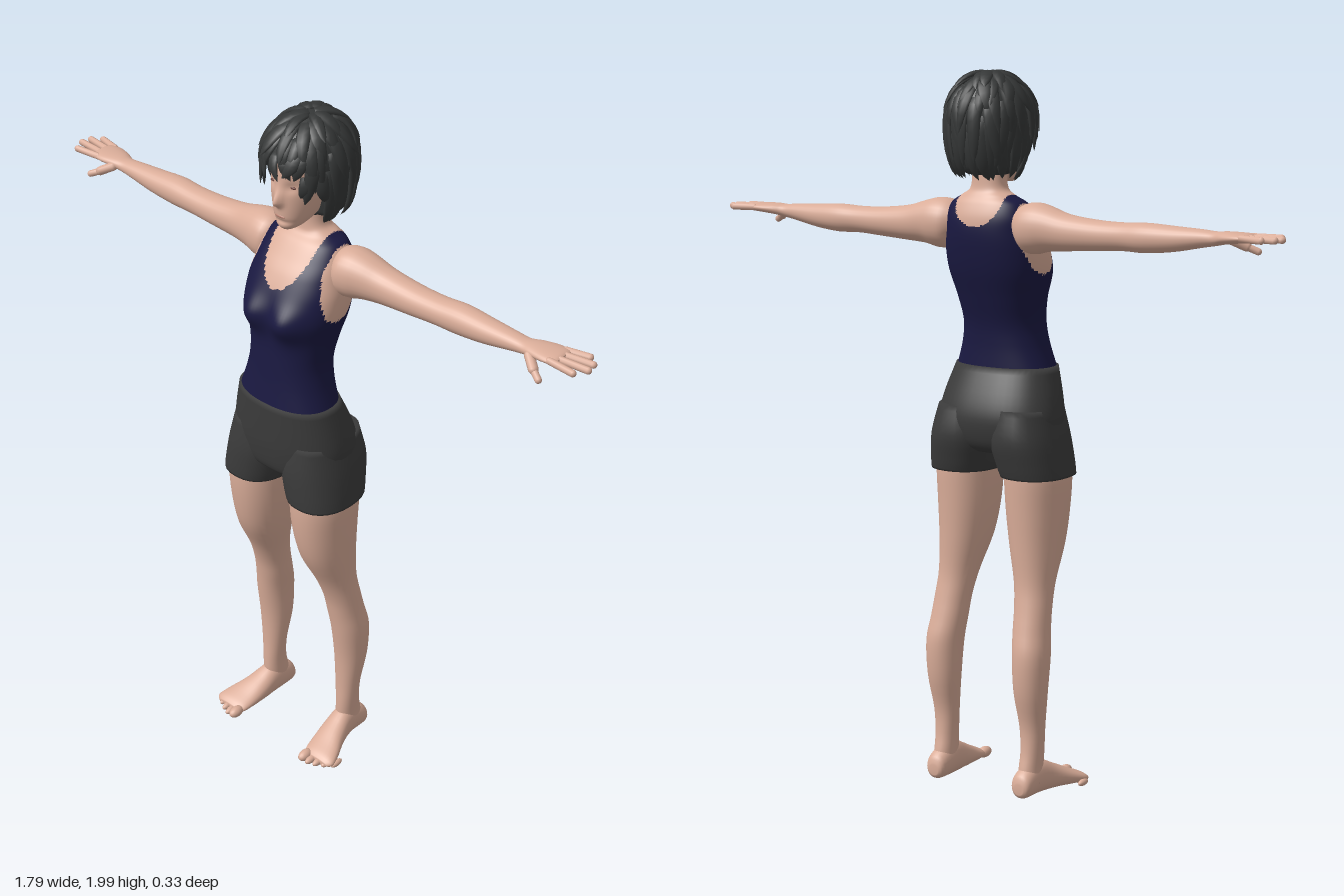
import * as THREE from 'three';
import { mergeGeometries } from 'three/addons/utils/BufferGeometryUtils.js';

const material = (name, color) => Object.assign(new THREE.MeshStandardMaterial({ color }), { name });
const V = (x, y, z) => new THREE.Vector3(x, y, z);
const bump = (d, w) => Math.exp(-((d / w) ** 2));

// Closed smooth surface through a list of equal-sized rings, capped at both ends
function skinRings(rings) {
  const n = rings[0].length, m = rings.length, pos = [], index = [];
  rings.forEach(r => r.forEach(p => pos.push(p.x, p.y, p.z)));
  for (const r of [rings[0], rings[m - 1]]) {
    const c = r.reduce((s, p) => s.add(p), V(0, 0, 0)).divideScalar(n);
    pos.push(c.x, c.y, c.z);
  }
  for (let j = 0; j < n; j++) {
    const k = (j + 1) % n, last = (m - 1) * n;
    for (let i = 0; i < m - 1; i++) {
      const a = i * n + j, b = i * n + k;
      index.push(a, a + n, b, b, a + n, b + n);
    }
    index.push(m * n, j, k, m * n + 1, last + k, last + j);
  }
  const g = new THREE.BufferGeometry();
  g.setAttribute('position', new THREE.Float32BufferAttribute(pos, 3));
  g.setIndex(index);
  g.computeVertexNormals();
  return g;
}

// Rows are [t, aMin, aMax, bMin, bMax]; place turns (t, a, b) into a point
const upright = (t, a, b) => V(a, t, b);
const sideways = (t, a, b) => V(t, b, a);
const forward = (t, a, b) => V(b, a, t);
function loft(rows, place, { segs = 28, steps = 4, power = 2.1, warp = p => p } = {}) {
  const rings = [], count = (rows.length - 1) * steps;
  for (let i = 0; i <= count; i++) {
    const k = Math.min(Math.floor(i / steps), rows.length - 2), f = i / steps - k;
    const at = q => rows[Math.max(0, Math.min(rows.length - 1, q))];
    const [t, a0, a1, b0, b1] = rows[0].map((_, c) => {
      const p0 = at(k - 1)[c], p1 = at(k)[c], p2 = at(k + 1)[c], p3 = at(k + 2)[c];
      const m1 = (p2 - p0) / 2, m2 = (p3 - p1) / 2;
      return p1 + m1 * f + (3 * (p2 - p1) - 2 * m1 - m2) * f * f + (2 * (p1 - p2) + m1 + m2) * f ** 3;
    });
    rings.push(Array.from({ length: segs }, (_, j) => {
      const q = j / segs * Math.PI * 2, c = Math.cos(q), s = Math.sin(q), e = 2 / power;
      const u = Math.sign(c) * Math.abs(c) ** e, v = Math.sign(s) * Math.abs(s) ** e;
      return warp(place(t, (a0 + a1) / 2 + u * (a1 - a0) / 2, (b0 + b1) / 2 + v * (b1 - b0) / 2));
    }));
  }
  return skinRings(rings);
}
const symmetric = rows => rows.map(([t, r, b0, b1]) => [t, -r, r, b0, b1]);

function mirrored(geo) {
  const g = geo.clone().scale(-1, 1, 1), ix = g.index.array;
  for (let i = 0; i < ix.length; i += 3) [ix[i], ix[i + 2]] = [ix[i + 2], ix[i]];
  g.computeVertexNormals();
  return g;
}
function rod(p, q, r) {
  const d = q.clone().sub(p), len = d.length();
  const g = new THREE.CapsuleGeometry(r, Math.max(0.001, len - r), 5, 10);
  g.applyQuaternion(new THREE.Quaternion().setFromUnitVectors(V(0, 1, 0), d.normalize()));
  const c = p.clone().add(q).multiplyScalar(0.5);
  return g.translate(c.x, c.y, c.z);
}
const ball = (x, y, z, rx, ry, rz) => new THREE.SphereGeometry(1, 16, 12)
  .deleteAttribute('uv').scale(rx, ry, rz).translate(x, y, z);

// Point on the hair volume: az turns from the front, h runs down from the crown
function hairPoint(az, h, s) {
  const k = h < Math.PI / 2 ? Math.sin(h) : Math.sin(h) ** 0.5, c = Math.cos(h);
  return V(0.113 * s * k * Math.sin(az), 1.862 + c * (c > 0 ? 0.122 * s : 0.178),
    -0.03 + (Math.cos(az) > 0 ? 0.134 : 0.122) * s * k * Math.cos(az));
}
function hairEnd(az) {
  const a = Math.abs(Math.atan2(Math.sin(az), Math.cos(az)));
  return a < 0.7 ? 1.62 : a < 1.15 ? 2.0 : 2.7;
}
function makeHair() {
  let seed = 7;
  const rand = () => (seed = (seed * 16807) % 2147483647) / 2147483647;
  const parts = [];
  // Base volume, tucked inside the head below the hairline
  parts.push(skinRings(Array.from({ length: 24 }, (_, i) => Array.from({ length: 40 }, (_, j) => {
    const az = j / 40 * Math.PI * 2, h = 0.05 + i * 0.11;
    return hairPoint(az, h, h > hairEnd(az) - 0.2 ? 0.6 : 0.97);
  }))));
  // Overlapping pointed locks in layers from crown to nape
  for (const [h0, h1, n] of [[0.05, 0.95, 9], [0.35, 1.4, 15], [0.7, 1.85, 20], [1.1, 2.35, 22], [1.5, 2.75, 22]]) {
    for (let j = 0; j < n; j++) {
      const az = (j + rand() * 0.7) / n * Math.PI * 2, start = h0 + rand() * 0.15;
      const end = Math.min(h1 + rand() * 0.2 - 0.1, hairEnd(az) + rand() * 0.2 - 0.08);
      if (end - start < 0.3) continue;
      const drift = (rand() - 0.5) * 0.5, flick = 0.02 + rand() * 0.17, w = 0.021 + rand() * 0.01;
      const at = u => hairPoint(az + drift * u * u, start + (end - start) * u,
        0.95 + 0.06 * Math.sin(Math.PI * u) + flick * u ** 3);
      const rings = [];
      for (let i = 0; i <= 7; i++) {
        const u = i / 7, p = at(u), t = at(u + 0.02).sub(at(u - 0.02)).normalize();
        const out = p.clone().sub(V(0, 1.85, -0.03));
        out.addScaledVector(t, -out.dot(t)).normalize();
        const side = t.clone().cross(out), r = w * (0.65 + 0.7 * u) * (1.001 - u) ** 0.65;
        rings.push(Array.from({ length: 8 }, (_, q) => p.clone()
          .addScaledVector(side, r * Math.cos(q * Math.PI / 4))
          .addScaledVector(out, 0.42 * r * Math.sin(q * Math.PI / 4))));
      }
      parts.push(skinRings(rings));
    }
  }
  return mergeGeometries(parts);
}

export function createModel() {
  const skin = material('skin', 0xdaad99), navy = material('navy cloth', 0x1a1941);
  const grey = material('charcoal cloth', 0x3b3b3b), dark = material('hair', 0x353737);
  const lip = material('lips', 0xb98272), iris = material('eyes', 0x6b4038);
  const model = new THREE.Group();
  const add = (name, geo, mat) => {
    const mesh = new THREE.Mesh(geo, mat);
    mesh.name = name;
    model.add(mesh);
  };
  const pair = (name, geo, mat) => {
    add('left' + name, geo, mat);
    add('right' + name, mirrored(geo), mat);
  };

  // Torso and neck: one surface, divided into tank top and bare skin
  const torso = loft(symmetric([
    [1.185, 0.146, -0.042, 0.153], [1.25, 0.125, -0.042, 0.144], [1.31, 0.116, -0.048, 0.138],
    [1.38, 0.126, -0.068, 0.133], [1.45, 0.144, -0.09, 0.135], [1.51, 0.146, -0.102, 0.122],
    [1.56, 0.138, -0.107, 0.098], [1.6, 0.13, -0.104, 0.068], [1.635, 0.112, -0.092, 0.04],
    [1.655, 0.08, -0.08, 0.018], [1.675, 0.053, -0.07, 0.012], [1.72, 0.047, -0.066, 0.012],
    [1.78, 0.045, -0.06, 0.02]]), upright, {
    segs: 96, steps: 8, power: 2.3,
    warp: p => {
      if (p.z > 0.03) p.z += 0.028 * bump(Math.abs(p.x) - 0.06, 0.05) * bump(p.y - 1.445, 0.05);
      return p;
    }
  });
  const isSkin = (x, y, z) => {
    const ax = Math.abs(x), depth = z > -0.03 ? 0.12 : 0.07;
    return y > 1.662 || ax > 0.11 + 0.25 * Math.max(0, 1.58 - y) ||
      (ax / 0.074) ** 2 + (Math.min(0, y - 1.645) / depth) ** 2 < 1;
  };
  const p = torso.attributes.position, cloth = [], bare = [];
  for (let i = 0; i < torso.index.count; i += 3) {
    const t = [0, 1, 2].map(k => torso.index.getX(i + k));
    const mid = get => t.reduce((s, v) => s + p[get](v), 0) / 3;
    (isSkin(mid('getX'), mid('getY'), mid('getZ')) ? bare : cloth).push(...t);
  }
  torso.setIndex([...cloth, ...bare]);
  torso.addGroup(0, cloth.length, 0);
  torso.addGroup(cloth.length, bare.length, 1);
  add('torsoAndTankTop', torso, [navy, skin]);

  // Shorts
  add('shortsHips', loft(symmetric([
    [0.955, 0.12, -0.05, 0.12], [0.98, 0.17, -0.08, 0.143], [1.04, 0.184, -0.094, 0.153],
    [1.1, 0.176, -0.082, 0.156], [1.19, 0.15, -0.044, 0.157]]), upright, { segs: 48, power: 2.3 }), grey);
  pair('ShortsLeg', loft([
    [0.893, 0.022, 0.21, -0.075, 0.15], [0.93, 0.012, 0.206, -0.086, 0.152],
    [1.0, 0.001, 0.194, -0.1, 0.151], [1.08, 0.02, 0.172, -0.085, 0.14]], upright, { power: 2.3 }), grey);

  // Legs
  pair('Leg', loft([
    [0.04, 0.115, 0.178, -0.085, 0.0], [0.08, 0.115, 0.175, -0.078, 0.005], [0.13, 0.115, 0.177, -0.068, 0.005],
    [0.2, 0.11, 0.182, -0.068, 0.003], [0.3, 0.1, 0.193, -0.09, 0.006], [0.4, 0.095, 0.197, -0.095, 0.018],
    [0.47, 0.088, 0.19, -0.08, 0.028], [0.53, 0.083, 0.186, -0.066, 0.04], [0.6, 0.072, 0.183, -0.055, 0.066],
    [0.7, 0.048, 0.19, -0.056, 0.115], [0.8, 0.033, 0.197, -0.06, 0.137], [0.9, 0.027, 0.2, -0.064, 0.143],
    [0.96, 0.03, 0.18, -0.06, 0.13]], upright), skin);

  // Feet, turned slightly outward, with toes
  const foot = [loft([
    [-0.1, 0.015, 0.045, 0.13, 0.16], [-0.085, 0.002, 0.075, 0.115, 0.176], [-0.02, 0, 0.1, 0.112, 0.18],
    [0.04, 0, 0.075, 0.112, 0.197], [0.09, 0, 0.05, 0.117, 0.22], [0.125, 0.001, 0.034, 0.124, 0.23],
    [0.14, 0.006, 0.022, 0.14, 0.215]], forward)];
  for (let i = 0; i < 5; i++) {
    const r = i ? 0.0115 - i * 0.0005 : 0.016;
    foot.push(ball(0.14 + i * 0.0215, r, 0.145 - 0.0025 * i * i, r, r, 0.026 - i * 0.001));
  }
  pair('Foot', mergeGeometries(foot), skin);

  // Arms with palms
  pair('Arm', loft([
    [0.095, -0.07, 0.0, 1.55, 1.62], [0.125, -0.09, 0.033, 1.51, 1.638], [0.16, -0.094, 0.034, 1.506, 1.642],
    [0.2, -0.09, 0.024, 1.515, 1.634], [0.26, -0.085, 0.01, 1.52, 1.617], [0.35, -0.08, 0.005, 1.526, 1.607],
    [0.43, -0.078, 0.002, 1.531, 1.605], [0.5, -0.082, 0.0, 1.53, 1.608], [0.58, -0.075, -0.003, 1.538, 1.604],
    [0.66, -0.066, -0.008, 1.553, 1.6], [0.7, -0.064, -0.01, 1.56, 1.597], [0.73, -0.075, -0.005, 1.566, 1.599],
    [0.77, -0.085, 0.0, 1.571, 1.599], [0.8, -0.083, -0.003, 1.574, 1.597],
    [0.81, -0.075, -0.012, 1.58, 1.592]], sideways), skin);
  const fingers = [[-0.075, 0.858, -0.091], [-0.054, 0.884, -0.068], [-0.031, 0.89, -0.039], [-0.011, 0.87, -0.003]]
    .map(([z0, x, z1]) => rod(V(0.785, 1.586, z0), V(x, 1.586, z1), 0.0095));
  fingers.push(rod(V(0.725, 1.578, -0.015), V(0.765, 1.556, 0.014), 0.013),
    rod(V(0.76, 1.558, 0.01), V(0.79, 1.544, 0.026), 0.0095));
  pair('Fingers', mergeGeometries(fingers), skin);

  // Head with nose, brow hollows and chin shaped into the surface
  add('head', loft(symmetric([
    [1.688, 0.018, 0.04, 0.078], [1.7, 0.035, 0.0, 0.087], [1.73, 0.054, -0.05, 0.091],
    [1.78, 0.07, -0.09, 0.093], [1.83, 0.077, -0.11, 0.092], [1.88, 0.079, -0.12, 0.088],
    [1.93, 0.066, -0.1, 0.06], [1.955, 0.035, -0.06, 0.02]]), upright, {
    segs: 64, steps: 8,
    warp: q => {
      if (q.z > 0.04) {
        q.z += 0.022 * bump(q.x, 0.011) * bump(q.y - 1.77, q.y > 1.77 ? 0.03 : 0.012);
        q.z -= 0.007 * bump(Math.abs(q.x) - 0.032, 0.016) * bump(q.y - 1.815, 0.014);
        q.z -= 0.005 * bump(q.x, 0.03) * bump(q.y - 1.713, 0.007);
      }
      return q;
    }
  }), skin);
  pair('Ear', ball(0.078, 1.79, -0.008, 0.01, 0.028, 0.017), skin);
  pair('Eye', ball(0.032, 1.815, 0.0765, 0.011, 0.004, 0.004), iris);
  add('lips', ball(0, 1.728, 0.0885, 0.017, 0.0045, 0.004), lip);
  add('hair', makeHair(), dark);
  return model;
}
